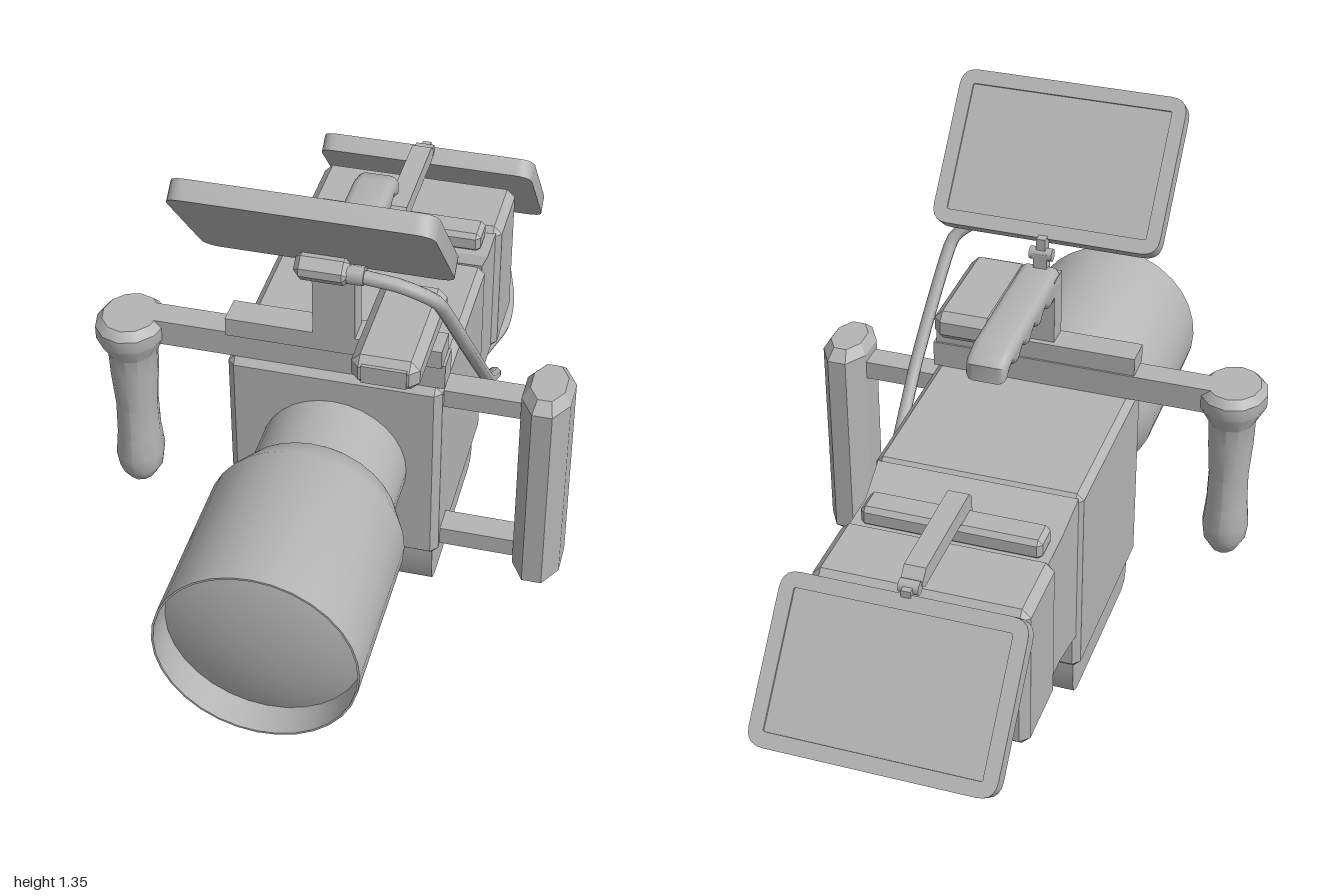
import * as THREE from 'three';
import { toCreasedNormals } from 'three/addons/utils/BufferGeometryUtils.js';
import { ConvexGeometry } from 'three/addons/geometries/ConvexGeometry.js';

const CX = 0.015; // centre line of the camera body
const V = (x, y, z) => new THREE.Vector3(x, y, z);

export function createModel() {
  const model = new THREE.Group();
  const grey = new THREE.MeshStandardMaterial({ color: 0xb4b4b4 });
  grey.name = 'matteGrey';

  const add = (name, geo, parent = model) => {
    const mesh = new THREE.Mesh(geo, grey);
    mesh.name = name;
    parent.add(mesh);
    return mesh;
  };

  // Box given by its limits, with optional chamfered edges
  const block = (x0, x1, y0, y1, z0, z1, c = 0) => {
    if (!c) return new THREE.BoxGeometry(x1 - x0, y1 - y0, z1 - z0)
      .translate((x0 + x1) / 2, (y0 + y1) / 2, (z0 + z1) / 2);
    const pts = [];
    for (const sx of [0, 1]) for (const sy of [0, 1]) for (const sz of [0, 1])
      for (let full = 0; full < 3; full++) {
        const at = (lo, hi, s, axis) => {
          const inset = axis === full ? 0 : c;
          return s ? hi - inset : lo + inset;
        };
        pts.push(V(at(x0, x1, sx, 0), at(y0, y1, sy, 1), at(z0, z1, sz, 2)));
      }
    return new ConvexGeometry(pts);
  };

  // Side profile of [z, y] points swept across x
  const sideExtrude = (points, x0, x1, bevel = 0) => {
    const shape = new THREE.Shape(points.map(([z, y]) => new THREE.Vector2(z, y)));
    const geo = new THREE.ExtrudeGeometry(shape, {
      depth: x1 - x0 - 2 * bevel, bevelEnabled: bevel > 0, bevelSize: bevel,
      bevelThickness: bevel, bevelOffset: -bevel, bevelSegments: 3,
    });
    geo.rotateY(-Math.PI / 2).translate(x1 - bevel, 0, 0);
    return toCreasedNormals(geo, 0.7);
  };

  const lathe = (points, sides, phase = 0) => new THREE.LatheGeometry(
    points.map(([r, y]) => new THREE.Vector2(r, y)), sides, phase);

  const roundedRect = (Type, w, h, r) => {
    const s = new Type(), a = w / 2, b = h / 2;
    s.moveTo(-a + r, -b).lineTo(a - r, -b).quadraticCurveTo(a, -b, a, -b + r);
    s.lineTo(a, b - r).quadraticCurveTo(a, b, a - r, b);
    s.lineTo(-a + r, b).quadraticCurveTo(-a, b, -a, b - r);
    s.lineTo(-a, -b + r).quadraticCurveTo(-a, -b, -a + r, -b);
    return s;
  };

  // Main body, base and rear mount
  add('body', block(-0.255, 0.285, 0.11, 0.655, -0.24, 0.3, 0.018));
  const r = 0.04;
  add('base', sideExtrude([
    [0.285, 0.12], [-0.22, 0.12], [-0.22, r], [-0.208, 0.012], [-0.22 + r, 0],
    [0.285 - r, 0], [0.273, 0.012], [0.285, r]], -0.235, 0.27));
  const taper = [];
  for (const [x0, x1, y0, y1, z] of [[-0.245, 0.275, 0.22, 0.65, -0.235], [-0.235, 0.27, 0.22, 0.605, -0.34]])
    for (const x of [x0, x1]) for (const y of [y0, y1]) taper.push(V(x, y, z));
  add('rearTaper', new ConvexGeometry(taper));
  add('batteryMount', block(-0.235, 0.27, 0.22, 0.605, -0.45, -0.335));
  add('battery', block(-0.255, 0.285, 0.21, 0.62, -0.665, -0.44, 0.022));

  // Lens barrel with a recessed domed glass
  const barrel = lathe([[0.187, 0.28], [0.187, 0.465], [0.21, 0.49], [0.245, 0.565], [0.245, 1],
    [0.24, 1], [0.238, 0.92]], 32);
  const dome = lathe([[0.239, 0.92], [0.18, 0.94], [0.1, 0.954], [0, 0.96]], 32);
  for (const [name, geo] of [['lensBarrel', barrel], ['lensGlass', dome]])
    add(name, toCreasedNormals(geo.rotateX(Math.PI / 2).translate(CX, 0.385, 0), 0.5));

  // Front cross bars on top of the body
  add('leftArm', block(-0.5, 0.29, 0.655, 0.725, 0.215, 0.285));
  add('topBar', block(-0.255, 0.283, 0.725, 0.775, 0.22, 0.297));

  // Left grip with a flared head
  const grip = lathe([[0, 0.21], [0.035, 0.21], [0.056, 0.245], [0.062, 0.29], [0.055, 0.36], [0.053, 0.45],
    [0.06, 0.55], [0.062, 0.62], [0.088, 0.67], [0.088, 0.705], [0.07, 0.725], [0, 0.725]], 12);
  grip.scale(1, 1, 1.15).translate(-0.508, 0, 0.268);
  add('leftGrip', toCreasedNormals(grip, 0.6));

  // Right octagonal grip on two arms
  const oct = Math.cos(Math.PI / 8);
  const rightGrip = lathe([[0, 0.09], [0.042 / oct, 0.09], [0.06 / oct, 0.118], [0.06 / oct, 0.658],
    [0.042 / oct, 0.685], [0, 0.685]], 8, Math.PI / 8);
  rightGrip.scale(1, 1, 1.65).translate(0.536, 0, 0.235);
  add('rightGrip', toCreasedNormals(rightGrip, 0.3));
  for (const y of [0.585, 0.132]) add('rightArm', block(0.28, 0.5, y, y + 0.05, 0.197, 0.267));

  // Top handle with finger waves on its underside
  add('handlePost', block(-0.035, 0.07, 0.77, 0.955, 0.235, 0.297));
  const handle = [[0.295, 0.9], [0.295, 0.955], [0.28, 0.97], [-0.1, 0.965], [-0.15, 0.95], [-0.165, 0.935], [-0.165, 0.89]];
  for (let i = 0; i <= 24; i++) {
    const t = i / 24;
    handle.push([-0.15 + 0.36 * t, 0.9 - 0.012 * Math.cos(t * Math.PI * 8)]);
  }
  add('topHandle', sideExtrude(handle, -0.035, 0.07, 0.02));

  // Small unit beside the handle
  add('sideUnit', block(0.1, 0.265, 0.78, 0.86, 0.14, 0.475, 0.022));
  add('sideUnitFace', block(0.13, 0.238, 0.797, 0.845, 0.47, 0.479));
  add('sideUnitFoot', block(0.14, 0.23, 0.77, 0.785, 0.225, 0.29));

  // Two tilted monitors, each a slab with a raised bezel and a plug behind
  const monitor = (name, y, z) => {
    const g = new THREE.Group();
    g.name = name;
    const slab = new THREE.ExtrudeGeometry(roundedRect(THREE.Shape, 0.603, 0.41, 0.045),
      { depth: 0.044, bevelEnabled: false, curveSegments: 5 });
    add('monitorCase', toCreasedNormals(slab.translate(0, 0, -0.025), 0.6), g);
    const ring = roundedRect(THREE.Shape, 0.603, 0.41, 0.045);
    ring.holes.push(roundedRect(THREE.Path, 0.53, 0.335, 0.005));
    const bezel = new THREE.ExtrudeGeometry(ring, { depth: 0.006, bevelEnabled: false, curveSegments: 5 });
    add('monitorBezel', toCreasedNormals(bezel.translate(0, 0, 0.019), 0.6), g);
    add('monitorPlug', block(-0.065, 0.065, -0.178, -0.118, -0.082, -0.022, 0.014), g);
    add('plugSleeve', new THREE.CylinderGeometry(0.024, 0.024, 0.04, 8)
      .rotateZ(Math.PI / 2).translate(-0.08, -0.148, -0.055), g);
    // face the rear and tilt upward
    g.rotation.set(-0.715, Math.PI, 0, 'YXZ');
    g.position.set(CX + 0.002, y, z);
    model.add(g);
  };
  monitor('frontMonitor', 1.183, 0.443);
  monitor('rearMonitor', 0.497, -0.845);

  // Front monitor hinge
  add('hingeStem', block(CX - 0.018, CX + 0.018, 0.95, 1.01, 0.265, 0.297));
  add('hingePin', new THREE.CylinderGeometry(0.017, 0.017, 0.06, 10)
    .rotateZ(Math.PI / 2).translate(CX, 1.005, 0.281));
  add('hingeTab', block(CX - 0.012, CX + 0.012, 1.0, 1.05, 0.272, 0.305));

  // Rear monitor rail, arm and hinge
  add('rearRail', block(-0.215, 0.245, 0.6, 0.655, -0.44, -0.355, 0.012));
  add('rearArm', sideExtrude([[-0.35, 0.61], [-0.35, 0.685], [-0.37, 0.705], [-0.67, 0.705], [-0.7, 0.675],
    [-0.68, 0.658], [-0.43, 0.658], [-0.42, 0.61]], CX - 0.027, CX + 0.027));
  add('rearHingePin', new THREE.CylinderGeometry(0.017, 0.017, 0.05, 10)
    .rotateZ(Math.PI / 2).translate(CX, 0.672, -0.705));
  add('rearHingeTab', block(CX - 0.012, CX + 0.012, 0.625, 0.68, -0.735, -0.695));

  // Cables with sockets at the back of the body
  const cable = (name, pts) => {
    const curve = new THREE.CatmullRomCurve3(pts.map((p) => V(...p)), false, 'catmullrom', 0.25);
    add(name, new THREE.TubeGeometry(curve, 60, 0.017, 8));
  };
  cable('frontMonitorCable', [[0.08, 1.037, 0.39], [0.2, 1.02, 0.385], [0.282, 0.96, 0.35], [0.318, 0.69, 0.157],
    [0.318, 0.353, -0.15], [0.3, 0.195, -0.37], [0.24, 0.11, -0.415], [0.14, 0.07, -0.377], [0.1, 0.075, -0.25]]);
  cable('rearMonitorCable', [[0.08, 0.347, -0.9], [0.19, 0.325, -0.9], [0.265, 0.19, -0.74],
    [0.275, 0.17, -0.61], [0.22, 0.17, -0.4], [0.2, 0.17, -0.25]]);
  for (const [x, y, z] of [[0.1, 0.075, -0.245], [0.2, 0.17, -0.26]])
    add('cableSocket', new THREE.CylinderGeometry(0.026, 0.026, 0.07, 10).rotateX(Math.PI / 2).translate(x, y, z));

  return model;
}
